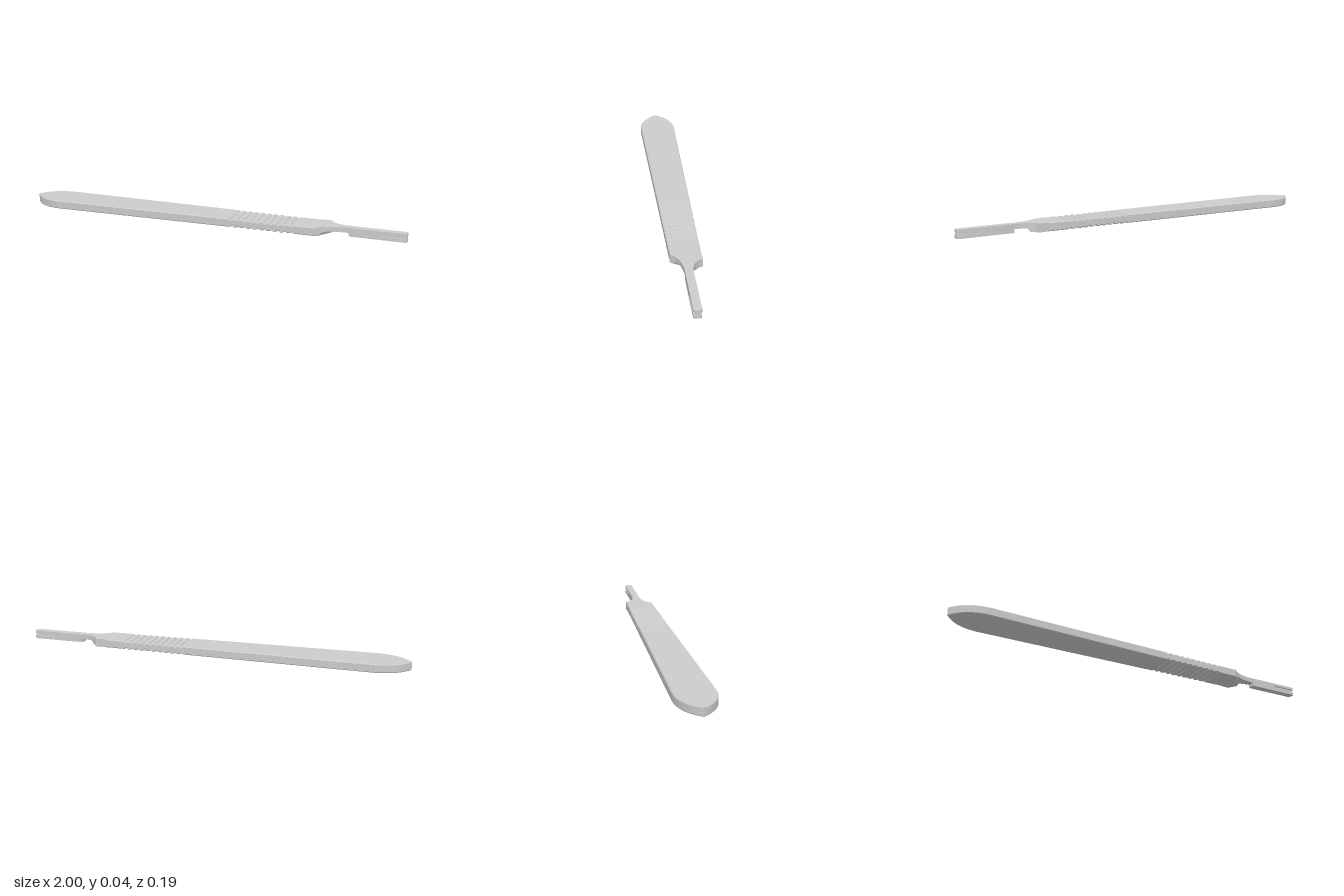
import * as THREE from 'three';
import { toCreasedNormals } from 'three/addons/utils/BufferGeometryUtils.js';

const H = 0.043;        // handle thickness
const STEP = 0.018;     // underside of the neck
const SLOT_TOP = 0.0295;
const TANG = 0.019;     // half width of the blade mount
const material = new THREE.MeshStandardMaterial({ color: 0xcccccc });
const v2 = (x, z) => new THREE.Vector2(x, z);

// Concave shoulder curves in plan (x, z): front starts earlier than back
const frontCurve = new THREE.QuadraticBezierCurve(v2(0.57, 0.072), v2(0.61, 0.021), v2(0.71, TANG));
const backCurve = new THREE.QuadraticBezierCurve(v2(0.62, -0.073), v2(0.635, -0.022), v2(0.72, -TANG));

function addMesh(group, name, geometry) {
  const mesh = new THREE.Mesh(toCreasedNormals(geometry, 0.45), material);
  mesh.name = name;
  group.add(mesh);
}

// Skin over rings of [x, y, z] points that follow each other along +x, with end caps
function loft(rings) {
  const n = rings[0].length, index = [];
  for (let k = 0; k < rings.length - 1; k++) {
    for (let i = 0; i < n; i++) {
      const a = k * n + i, b = k * n + (i + 1) % n;
      index.push(a, b, a + n, b, b + n, a + n);
    }
  }
  const end = (rings.length - 1) * n;
  for (let i = 1; i < n - 1; i++) {
    index.push(0, i + 1, i, end, end + i, end + i + 1);
  }
  const geometry = new THREE.BufferGeometry();
  geometry.setAttribute('position', new THREE.Float32BufferAttribute(rings.flat(2), 3));
  geometry.setIndex(index);
  return geometry;
}

// Plan outline (x, z) raised between two heights
function slab(points, bottom, top) {
  const geometry = new THREE.ExtrudeGeometry(new THREE.Shape(points), { depth: top - bottom, bevelEnabled: false });
  return geometry.rotateX(Math.PI / 2).translate(0, top, 0);
}

// Section of the handle: a rectangle with chamfered corners
function handleRing(x, half, inset = 0) {
  const c = Math.min(0.004, half * 0.5), lo = inset, hi = H - inset;
  return [
    [x, hi, half - c], [x, hi - c, half], [x, lo + c, half], [x, lo, half - c],
    [x, lo, c - half], [x, lo + c, -half], [x, hi - c, -half], [x, hi, c - half],
  ];
}

function handleGeometry() {
  const rings = [];
  const half = x => 0.097 - (x + 0.82) * 0.0179;
  // Leaf shaped butt
  const butt = new THREE.CubicBezierCurve(v2(-1, 0.001), v2(-0.965, 0.055), v2(-0.91, 0.097), v2(-0.82, 0.097));
  for (const p of butt.getPoints(16)) rings.push(handleRing(p.x, p.y));
  // Grip grooves across top and underside
  const count = 10, pitch = 0.034, depth = 0.005;
  for (let i = 0; i < count; i++) {
    const x = 0.135 + i * pitch;
    for (const [dx, d] of [[0, 0], [0.003, depth], [0.014, depth], [0.017, 0]]) {
      rings.push(handleRing(x + dx, half(x + dx), d));
    }
  }
  rings.push(handleRing(0.57, 0.072));
  return loft(rings);
}

// Lower part of the neck, ending in an oblique ramp
function rampGeometry() {
  const ring = (fb, ft, bb, bt) => [
    [ft.x, STEP, ft.y], [fb.x, 0, fb.y], [bb.x, 0, bb.y], [bt.x, STEP, bt.y],
  ];
  const f0 = frontCurve.getPoint(0), b0 = v2(0.57, -0.072);
  const rings = [ring(f0, f0, b0, b0)];
  for (let i = 0; i <= 8; i++) {
    const t = i / 8;
    rings.push(ring(
      frontCurve.getPoint(0.02 * t), frontCurve.getPoint(0.3 * t),
      backCurve.getPoint(0.44 * t), backCurve.getPoint(0.58 * t)));
  }
  return loft(rings);
}

// Tip of the mount with rounded corners, from front to back
function tipPoints(half) {
  const r = 0.009, points = [];
  for (const s of [1, -1]) {
    for (let i = 0; i <= 5; i++) {
      const a = (s > 0 ? 5 - i : i) / 5 * Math.PI / 2;
      points.push(v2(1 - r + r * Math.cos(a), s * (half - r + r * Math.sin(a))));
    }
  }
  return points;
}

// Shoulder and mount in plan; the slotted layer narrows toward the tip
function neckOutline(slotted) {
  const start = 0.865, core = 0.011;
  return [
    v2(0.57, -0.072),
    ...frontCurve.getPoints(14),
    ...(slotted ? [v2(start, TANG), v2(start + 0.01, core)] : []),
    ...tipPoints(slotted ? core : TANG),
    ...(slotted ? [v2(start + 0.01, -core), v2(start, -TANG)] : []),
    ...backCurve.getPoints(14).reverse(),
  ];
}

export function createModel() {
  const model = new THREE.Group();
  model.name = 'bladeHandle';
  addMesh(model, 'handle', handleGeometry());

  const neck = new THREE.Group();
  neck.name = 'neckAndBladeMount';
  addMesh(neck, 'neckRamp', rampGeometry());
  addMesh(neck, 'mountTop', slab(neckOutline(false), SLOT_TOP, H));
  addMesh(neck, 'mountSlotCore', slab(neckOutline(true), STEP, SLOT_TOP));
  addMesh(neck, 'mountBottom', slab([v2(0.72, -TANG), v2(0.72, TANG), ...tipPoints(TANG)], 0, STEP));
  model.add(neck);
  return model;
}
